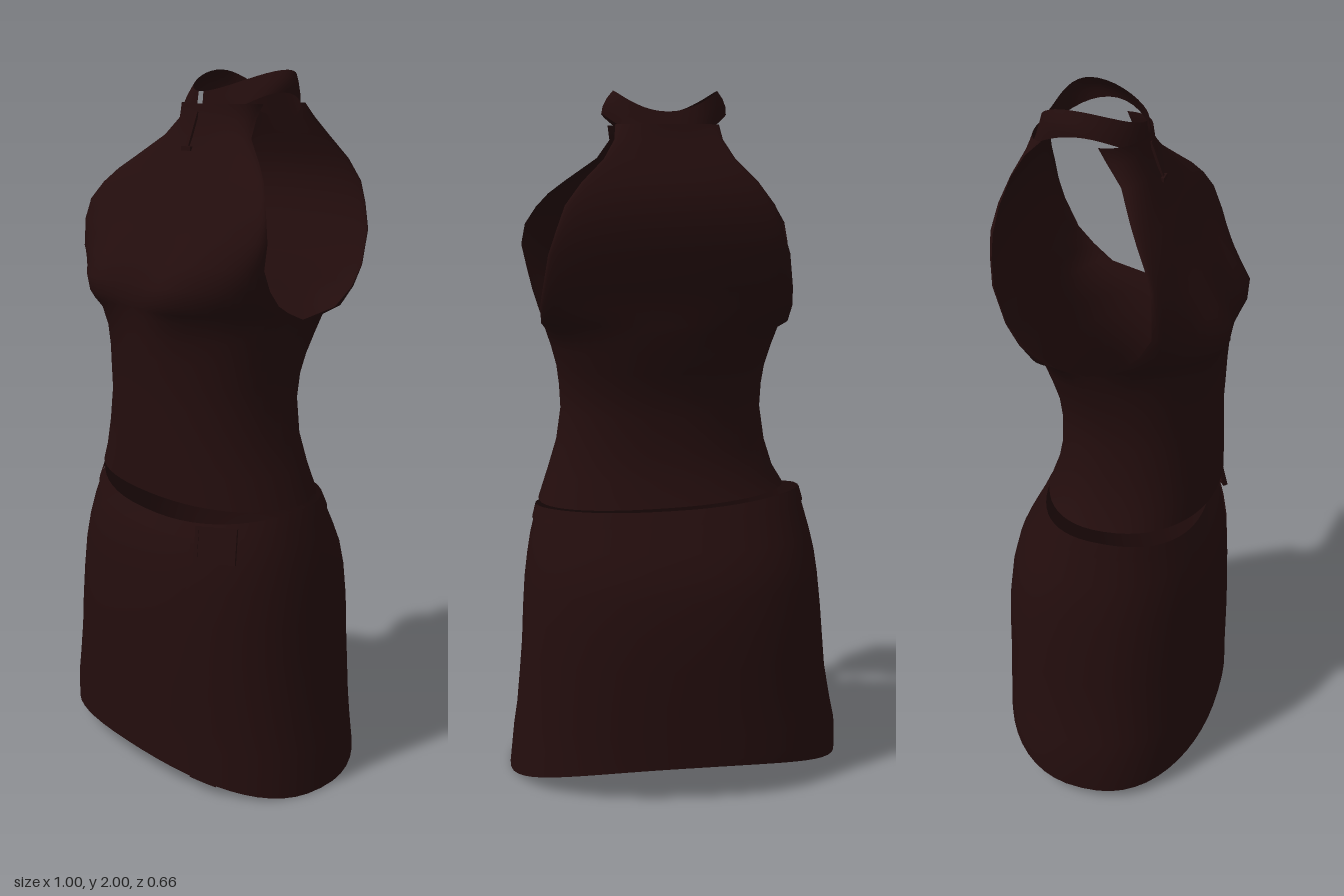
import * as THREE from 'three';
import { mergeGeometries, mergeVertices } from 'three/addons/utils/BufferGeometryUtils.js';

const cloth = new THREE.MeshStandardMaterial({ color: 0x230d0d, side: THREE.DoubleSide });
cloth.name = 'dark maroon cloth';

// Sheet of nu x nv cells from a point rule
function sheet(nu, nv, point) {
  const pos = [], index = [];
  for (let j = 0; j <= nv; j++)
    for (let i = 0; i <= nu; i++) pos.push(...point(i / nu, j, j / nv));
  for (let j = 0; j < nv; j++)
    for (let i = 0; i < nu; i++) {
      const a = j * (nu + 1) + i, b = a + 1, c = a + nu + 1, d = c + 1;
      index.push(a, c, b, b, c, d);
    }
  const g = new THREE.BufferGeometry();
  g.setAttribute('position', new THREE.Float32BufferAttribute(pos, 3));
  g.setIndex(index);
  return g;
}

function finish(name, geometries) {
  const g = mergeVertices(mergeGeometries(geometries), 1e-4);
  g.computeVertexNormals();
  const m = new THREE.Mesh(g, cloth);
  m.name = name;
  return m;
}

// Rounded-box style oval: power below 1 squares it off
const pw = (v, e) => Math.sign(v) * Math.abs(v) ** e;

// Torso rows: y, half width, side edge z, centre z
const lowerFront = [
  [0.85, 0.365, 0.03, 0.29], [0.92, 0.335, 0.035, 0.29], [1.0, 0.31, 0.04, 0.288], [1.1, 0.295, 0.04, 0.285],
  [1.17, 0.298, 0.035, 0.288], [1.23, 0.305, 0.02, 0.29], [1.29, 0.32, 0, 0.292], [1.345, 0.337, -0.02, 0.295],
];
const lowerBackZ = [-0.21, -0.185, -0.17, -0.17, -0.18, -0.2, -0.22, -0.235];
const frontRows = [
  ...lowerFront,
  [1.37, 0.345, 0.04, 0.3], [1.395, 0.355, 0.085, 0.302], [1.44, 0.37, 0.13, 0.3], [1.5, 0.385, 0.165, 0.275],
  [1.57, 0.4, 0.168, 0.235], [1.63, 0.388, 0.162, 0.195], [1.68, 0.355, 0.138, 0.168], [1.72, 0.318, 0.11, 0.142],
  [1.76, 0.265, 0.078, 0.118], [1.82, 0.18, 0.033, 0.09], [1.87, 0.146, -0.015, 0.072], [1.91, 0.152, -0.035, 0.066],
];
const backRows = [
  ...lowerFront.map((r, i) => [r[0], r[1], r[2], lowerBackZ[i]]),
  [1.37, 0.347, -0.13, -0.24], [1.42, 0.35, -0.19, -0.25], [1.475, 0.342, -0.235, -0.265], [1.57, 0.326, -0.272, -0.3],
  [1.64, 0.302, -0.283, -0.31], [1.7, 0.28, -0.285, -0.315], [1.76, 0.235, -0.28, -0.3], [1.82, 0.175, -0.265, -0.275],
  [1.87, 0.145, -0.235, -0.25], [1.91, 0.14, -0.19, -0.24],
];

function torsoHalf(rows, start, bust) {
  return sheet(28, rows.length - 1, (u, j) => {
    const [y, hw, ze, zc] = rows[j], t = start + u * Math.PI;
    const dx = hw * pw(Math.cos(t), 0.9);
    let z = ze + (zc - ze) * Math.abs(Math.sin(t)) ** 0.9;
    for (const s of [-1, 1])
      z += bust * Math.exp(-(((dx - s * 0.17) / 0.1) ** 2) - ((y - 1.42) / 0.09) ** 2) * Math.abs(Math.sin(t));
    return [0.033 + dx, y - (j === 0 ? 0.02 * Math.cos(t) : 0), z];
  });
}

// Skirt rows: y, centre x, half width, front z, back z
const skirtRows = [
  [0.02, 0, 0.5, 0.322, -0.33], [0.13, -0.006, 0.492, 0.322, -0.33], [0.2, -0.004, 0.479, 0.322, -0.33],
  [0.3, 0, 0.465, 0.322, -0.33], [0.4, 0, 0.456, 0.321, -0.33], [0.5, 0.002, 0.449, 0.317, -0.328],
  [0.6, 0.004, 0.44, 0.31, -0.316], [0.67, 0.005, 0.43, 0.298, -0.298], [0.73, 0.007, 0.418, 0.282, -0.266],
  [0.81, 0.015, 0.388, 0.258, -0.205],
];
const hemY = (s, f) => 0.018 - 0.013 * s + 0.067 * f * f - 0.025 * f;
const rimY = (s, f) => 0.81 - 0.03 * f + 0.03 * s * s - 0.02 * s;

function skirtPoint(t, j, grow = 0) {
  const [y, cx, hw, zf, zb] = skirtRows[j], s = Math.cos(t), f = Math.sin(t);
  const py = j === 0 ? hemY(s, f) : j === skirtRows.length - 1 ? rimY(s, f) : y;
  return [cx + (hw + grow) * pw(s, 0.87), py, ((f > 0 ? zf : -zb) + grow) * pw(f, 0.87)];
}

export function createModel() {
  const model = new THREE.Group();
  model.name = 'halterTopAndSkirt';

  // Halter top with open armholes
  model.add(finish('halterTop', [torsoHalf(frontRows, 0, 0.045), torsoHalf(backRows, Math.PI, 0)]));

  // Standing collar, split at the throat and rising at the sides
  model.add(finish('collar', [sheet(40, 3, (u, j, v) => {
    const t = Math.PI / 2 + 0.07 + u * (Math.PI * 2 - 0.14), s2 = Math.cos(t) ** 2, f = Math.sin(t);
    const bottom = 1.865 + 0.075 * s2, top = 1.943 + 0.057 * s2;
    const hw = 0.172 - 0.03 * v * v;
    const z = -0.085 - 0.045 * v * s2 + (f > 0 ? 0.155 - 0.01 * v : 0.165 - 0.035 * v) * f;
    return [0.033 + hw * Math.cos(t), bottom + (top - bottom) * v, z];
  })]));

  // Throat fastening
  const zip = new THREE.Mesh(new THREE.BoxGeometry(0.012, 0.1, 0.008), cloth);
  zip.name = 'throatFastening';
  zip.position.set(0.027, 1.84, 0.086);
  zip.rotation.x = -0.35;
  const pull = new THREE.Mesh(new THREE.BoxGeometry(0.04, 0.012, 0.009), cloth);
  pull.name = 'fasteningEnd';
  pull.position.set(0.027, 1.79, 0.106);
  model.add(zip, pull);

  // Skirt
  const last = skirtRows.length - 1;
  model.add(finish('skirt', [sheet(56, last, (u, j) => skirtPoint(u * Math.PI * 2, j))]));

  // Waistband following the tilted rim
  model.add(finish('waistband', [sheet(56, 1, (u, j, v) => {
    const t = u * Math.PI * 2;
    const a = skirtPoint(t, last, 0.005), b = skirtPoint(t, last - 1, 0.005);
    const k = (1 - v) * Math.min(1, 0.04 / (a[1] - b[1]));
    return a.map((c, i) => c + (b[i] - c) * k);
  })]));

  // Wrap flap edge down the front
  model.add(finish('wrapFlap', [sheet(4, last - 1, (u, j) => skirtPoint(0.88 + u * 0.2, j, 0.005))]));

  // Square buckle: frame with a recessed plate
  const buckle = new THREE.Group();
  buckle.name = 'buckle';
  const plate = new THREE.Mesh(new THREE.BoxGeometry(0.105, 0.09, 0.008), cloth);
  plate.name = 'bucklePlate';
  buckle.add(plate);
  for (const s of [-1, 1]) {
    const bar = new THREE.Mesh(new THREE.BoxGeometry(0.118, 0.01, 0.014), cloth);
    bar.name = 'buckleBar';
    bar.position.y = s * 0.045;
    const post = new THREE.Mesh(new THREE.BoxGeometry(0.01, 0.1, 0.014), cloth);
    post.name = 'bucklePost';
    post.position.x = s * 0.054;
    buckle.add(bar, post);
  }
  buckle.position.set(0.3, 0.735, 0.228);
  buckle.rotation.set(-0.25, 0.62, 0, 'YXZ');
  model.add(buckle);

  return model;
}
